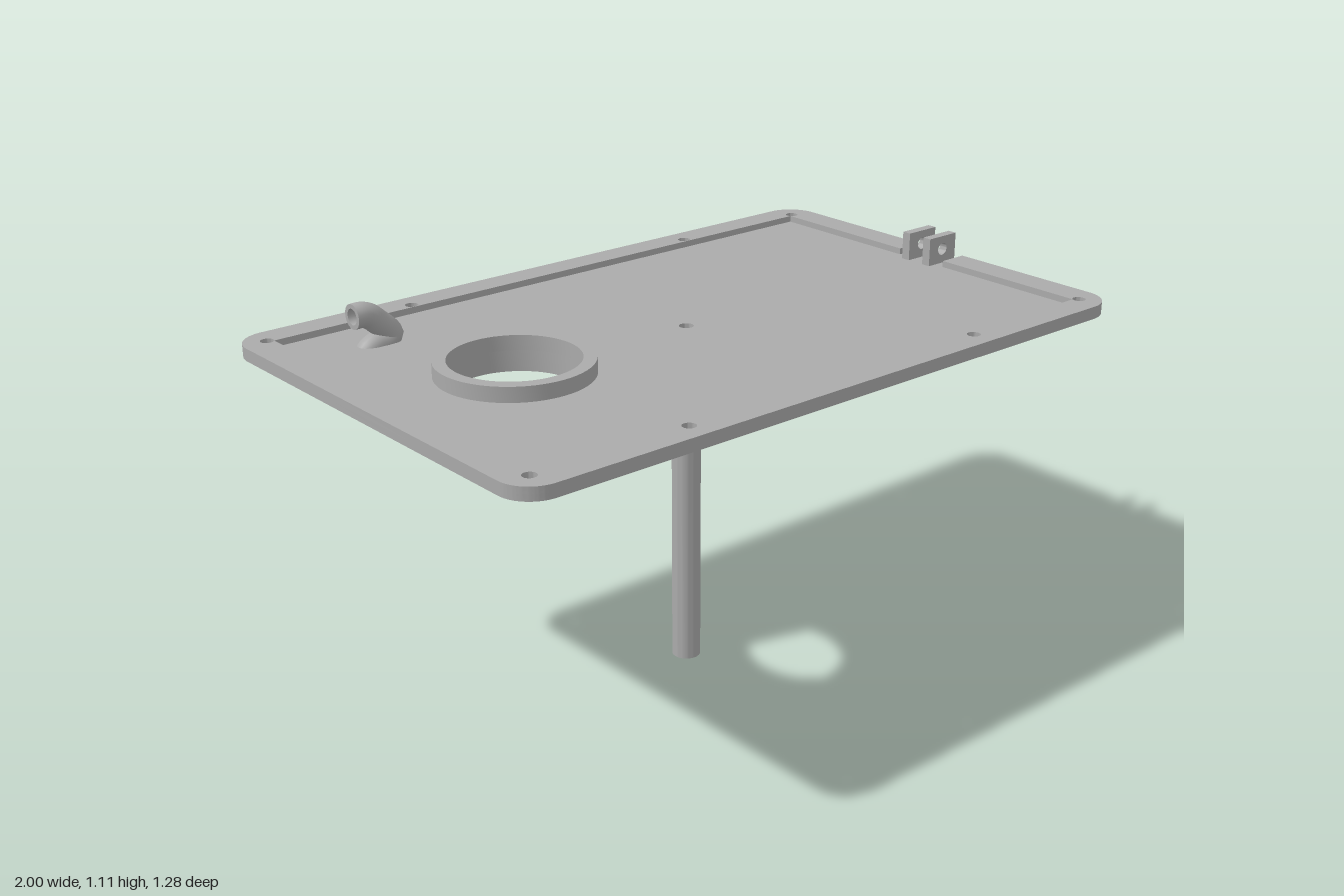
import * as THREE from 'three';
import { toCreasedNormals } from 'three/addons/utils/BufferGeometryUtils.js';

const FLOOR = 0.987, BOTTOM = 0.97, TOP = 1.005;

function circle(x, y, r) {
  const p = new THREE.Path();
  p.absarc(x, y, r, 0, Math.PI * 2, true);
  return p;
}

function ringShape(x, y, outer, inner) {
  const s = new THREE.Shape();
  s.absarc(x, y, outer, 0, Math.PI * 2, false);
  s.holes.push(circle(x, y, inner));
  return s;
}

// Extrude a plan shape (x, -z) between two heights
function slab(shape, y0, y1, segments = 16) {
  const g = new THREE.ExtrudeGeometry(shape, { depth: y1 - y0, bevelEnabled: false, curveSegments: segments });
  g.rotateX(-Math.PI / 2);
  g.translate(0, y0, 0);
  return toCreasedNormals(g, 0.6);
}

// Rounded rectangle; with a notch the outline runs round the inside too, leaving a gap at +x
function plateOutline(notched) {
  const X = 1, Z = 0.64, r = 0.09, ix = 0.915, iz = 0.56, n = 0.085;
  const s = new THREE.Shape();
  s.moveTo(X, notched ? n : 0);
  s.lineTo(X, Z - r);
  s.absarc(X - r, Z - r, r, 0, Math.PI / 2, false);
  s.absarc(-X + r, Z - r, r, Math.PI / 2, Math.PI, false);
  s.absarc(-X + r, -Z + r, r, Math.PI, Math.PI * 1.5, false);
  s.absarc(X - r, -Z + r, r, Math.PI * 1.5, Math.PI * 2, false);
  if (notched) {
    s.lineTo(X, -n);
    for (const [x, z] of [[ix, -n], [ix, -iz], [-ix, -iz], [-ix, iz], [ix, iz], [ix, n]]) s.lineTo(x, z);
  }
  s.closePath();
  for (const sx of [-1, 1]) for (const sz of [-1, 1]) {
    s.holes.push(circle(sx * 0.93, sz * 0.57, 0.018));
    s.holes.push(circle(sx * 0.487, sz * 0.578, 0.018));
  }
  return s;
}

export function createModel() {
  const group = new THREE.Group();
  const grey = new THREE.MeshStandardMaterial({ color: 0xaaaaaa });
  grey.name = 'plain grey';
  const greyOpen = new THREE.MeshStandardMaterial({ color: 0xaaaaaa, side: THREE.DoubleSide });
  greyOpen.name = 'plain grey';
  const add = (name, geometry, material = grey) => {
    const m = new THREE.Mesh(geometry, material);
    m.name = name;
    group.add(m);
    return m;
  };

  // Tray: thin floor with a raised screw rim
  const px = -0.558;
  const floor = plateOutline(false);
  floor.holes.push(circle(0, 0, 0.02), circle(px, 0, 0.172));
  add('trayFloor', slab(floor, BOTTOM, FLOOR));
  add('trayRim', slab(plateOutline(true), FLOOR, TOP));

  // Round port: wide flange above, narrower collar below
  add('portFlange', slab(ringShape(px, 0, 0.205, 0.17), FLOOR, 1.028, 32));
  add('portCollar', slab(ringShape(px, 0, 0.183, 0.17), 0.93, FLOOR, 32));

  // Hollow centre post
  add('post', slab(ringShape(0, 0, 0.04, 0.02), 0, BOTTOM, 24));

  // Hinge lugs with a cross hole
  const lug = new THREE.Shape();
  lug.moveTo(0.89, FLOOR - 0.005);
  lug.lineTo(1, FLOOR - 0.005);
  lug.lineTo(1, 1.068);
  lug.lineTo(0.89, 1.068);
  lug.closePath();
  lug.holes.push(circle(0.945, 1.029, 0.018));
  for (const z of [-0.053, 0.027]) {
    const g = new THREE.ExtrudeGeometry(lug, { depth: 0.027, bevelEnabled: false, curveSegments: 16 });
    g.translate(0, 0, z);
    add('hingeLug', toCreasedNormals(g, 0.6));
  }

  // Kinked hose spout: stub below the tray, bend above, mouth facing -x
  const hz = -0.417, outer = 0.034, inner = 0.022;
  const points = [
    [-0.729, 0.914], [-0.729, 0.945], [-0.727, 0.966], [-0.705, 0.982], [-0.672, 0.99],
    [-0.655, 1.002], [-0.664, 1.018], [-0.69, 1.042], [-0.716, 1.064], [-0.737, 1.072], [-0.765, 1.072],
  ].map(([x, y]) => new THREE.Vector3(x, y, hz));
  const path = new THREE.CatmullRomCurve3(points);
  add('spoutOuter', new THREE.TubeGeometry(path, 40, outer, 20), greyOpen);
  add('spoutBore', new THREE.TubeGeometry(path, 40, inner, 20), greyOpen);
  const mouth = add('spoutMouth', new THREE.RingGeometry(inner, outer, 20), greyOpen);
  mouth.position.copy(points[points.length - 1]);
  mouth.rotation.y = -Math.PI / 2;
  const end = add('spoutLowerEnd', new THREE.RingGeometry(inner, outer, 20), greyOpen);
  end.position.copy(points[0]);
  end.rotation.x = Math.PI / 2;

  return group;
}
